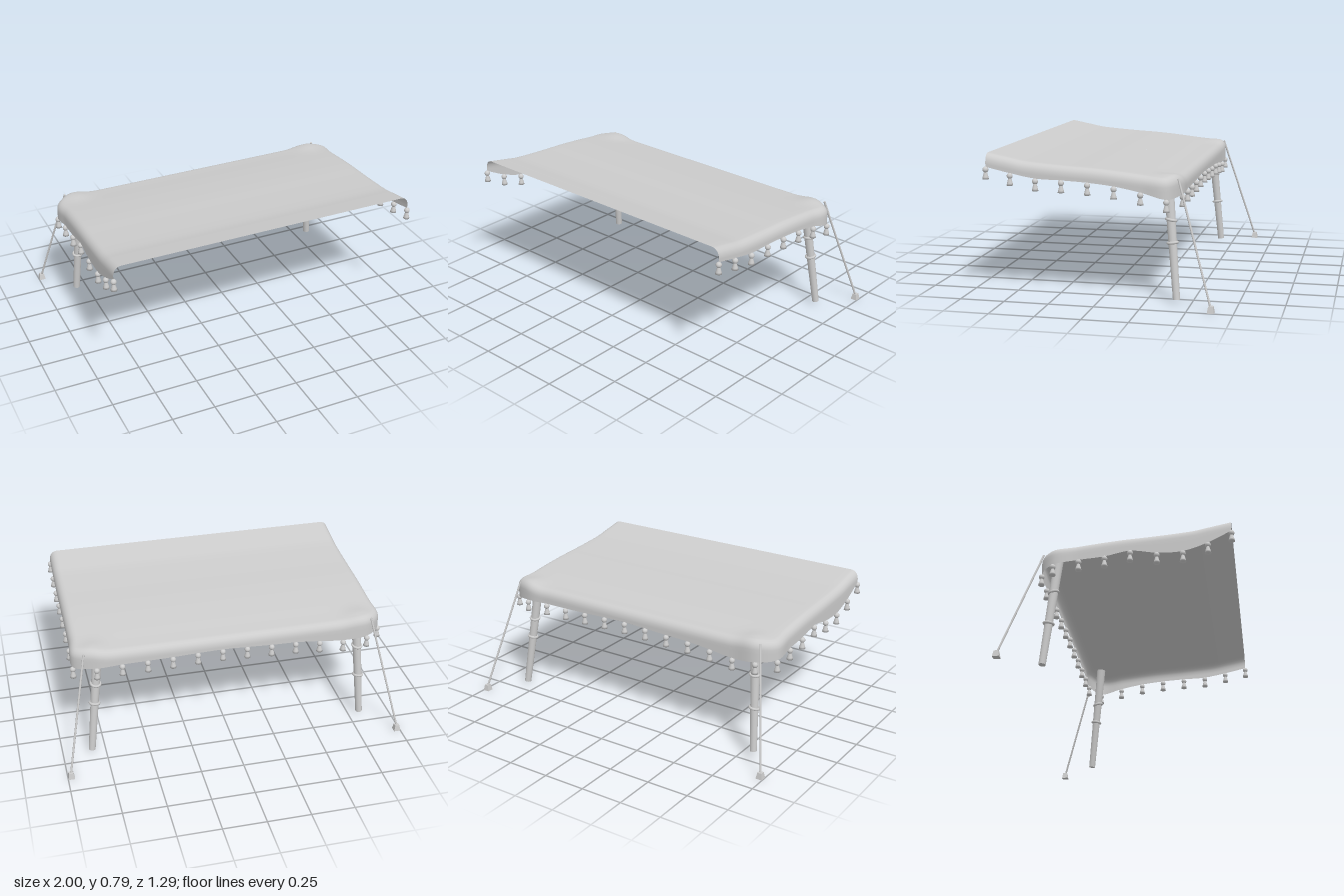
import * as THREE from 'three';
import { mergeVertices } from 'three/addons/utils/BufferGeometryUtils.js';

const V = (x, y, z) => new THREE.Vector3(x, y, z);

// Hem of the cloth: left-hand edge front to back, along the back, then forward again
const XL = -0.913, XR = 0.902, ZB = -0.44;
const sideA = [[0.625, 0.72], [0.495, 0.655], [0.358, 0.612], [0.215, 0.612], [0.068, 0.635], [-0.073, 0.61], [-0.217, 0.598], [-0.36, 0.578]];
const back = [[-0.82, 0.572], [-0.675, 0.562], [-0.53, 0.577], [-0.385, 0.59], [-0.24, 0.594], [-0.095, 0.601],
  [0.05, 0.606], [0.195, 0.603], [0.34, 0.598], [0.485, 0.595], [0.63, 0.593], [0.775, 0.588]];
const sideB = [[-0.375, 0.576], [-0.235, 0.61], [-0.09, 0.637], [0.055, 0.652], [0.2, 0.66], [0.345, 0.665], [0.487, 0.69], [0.625, 0.72]];
const hemPoints = [
  ...sideA.map(([z, y]) => V(XL, y, z)),
  ...back.map(([x, y]) => V(x, y, ZB)),
  ...sideB.map(([z, y]) => V(XR, y, z)),
];

// Height of the roof cloth, sagging towards the back and lifted by the two poles
const slope = [[-0.45, 0.674], [-0.35, 0.684], [-0.2, 0.704], [0, 0.724], [0.2, 0.736], [0.4, 0.752], [0.5, 0.77], [0.63, 0.795]];
const slopeCurve = new THREE.SplineCurve(slope.map(([z, y]) => new THREE.Vector2(z, y)));
const slopeTable = slopeCurve.getPoints(140);
function roofHeight(x, z) {
  let i = 1;
  while (i < slopeTable.length - 1 && slopeTable[i].x < z) i++;
  const a = slopeTable[i - 1], b = slopeTable[i];
  const y = THREE.MathUtils.mapLinear(z, a.x, b.x, a.y, b.y);
  const d2 = (Math.abs(x) - 0.79) ** 2 + (z + 0.385) ** 2;
  return y + 0.018 * Math.exp(-d2 / 0.006);
}

// Roof, rolled edge and hanging skirt as one swept sheet
function clothGeometry() {
  const hem = new THREE.CatmullRomCurve3(hemPoints);
  const n = (hemPoints.length - 1) * 7, inset = 0.045, drop = 0.05;
  const roofSteps = 24, rollSteps = 5, skirtSteps = 3;
  const rows = roofSteps + rollSteps + skirtSteps + 1;
  const pos = [], index = [];
  for (let i = 0; i <= n; i++) {
    const p = hem.getPoint(i / n), t = hem.getTangent(i / n);
    const inward = V(-t.z, 0, t.x).normalize();
    const at = (d) => p.clone().addScaledVector(inward, d);
    const edge = at(inset), core = V(0, 0, Math.max(edge.z, -0.1));
    const top = roofHeight(edge.x, edge.z);
    for (let j = 0; j <= roofSteps; j++) {
      const q = core.clone().lerp(edge, j / roofSteps);
      pos.push(q.x, roofHeight(q.x, q.z), q.z);
    }
    for (let j = 1; j <= rollSteps; j++) {
      const a = (j / rollSteps) * Math.PI / 2;
      const q = at(inset * (1 - Math.sin(a)));
      pos.push(q.x, top - drop * (1 - Math.cos(a)), q.z);
    }
    for (let j = 1; j <= skirtSteps; j++) {
      pos.push(p.x, THREE.MathUtils.lerp(top - drop, p.y, j / skirtSteps), p.z);
    }
  }
  for (let i = 0; i < n; i++) {
    for (let j = 0; j < rows - 1; j++) {
      const a = i * rows + j, b = a + rows;
      index.push(a, b, a + 1, b, b + 1, a + 1);
    }
  }
  let g = new THREE.BufferGeometry();
  g.setAttribute('position', new THREE.Float32BufferAttribute(pos, 3));
  g.setIndex(index);
  g = mergeVertices(g, 1e-5);
  g.computeVertexNormals();
  return g;
}

export function createModel() {
  const model = new THREE.Group();
  model.name = 'awning';
  const grey = new THREE.MeshStandardMaterial({ color: 0xcccccc });
  grey.name = 'light grey';
  grey.side = THREE.DoubleSide;

  function add(name, geometry, parent = model) {
    const m = new THREE.Mesh(geometry, grey);
    m.name = name;
    parent.add(m);
    return m;
  }
  // Round rod between two points
  function rod(name, from, to, rFrom, rTo, sides, parent) {
    const dir = to.clone().sub(from);
    const m = add(name, new THREE.CylinderGeometry(rTo, rFrom, dir.length(), sides), parent);
    m.position.copy(from).add(to).multiplyScalar(0.5);
    m.quaternion.setFromUnitVectors(V(0, 1, 0), dir.normalize());
    return m;
  }

  add('clothRoof', clothGeometry());

  // Tassels: a bead over a flared skirt
  const bead = new THREE.SphereGeometry(0.0165, 14, 10);
  const flare = new THREE.LatheGeometry(
    [[0, -0.067], [0.0185, -0.067], [0.016, -0.055], [0.01, -0.034], [0.009, -0.028]].map(([r, y]) => new THREE.Vector2(r, y)), 12);
  hemPoints.forEach((p) => {
    const tassel = new THREE.Group();
    tassel.name = 'tassel';
    tassel.position.copy(p);
    add('tasselBead', bead, tassel).position.y = -0.015;
    add('tasselFlare', flare, tassel);
    model.add(tassel);
  });

  // Leaning poles with tilted binding rings
  const poles = [
    { foot: V(-0.815, 0.02, -0.42), head: V(-0.773, 0.69, -0.355), rings: [0.472, 0.275] },
    { foot: V(0.83, 0.02, -0.42), head: V(0.752, 0.69, -0.355), rings: [0.448, 0.325] },
  ];
  for (const { foot, head, rings } of poles) {
    const pole = new THREE.Group();
    pole.name = 'pole';
    model.add(pole);
    rod('poleShaft', foot, head, 0.02, 0.028, 14, pole);
    rings.forEach((y, i) => {
      const t = (y - foot.y) / (head.y - foot.y);
      const ring = add('poleRing', new THREE.TorusGeometry(0.026, 0.008, 8, 20), pole);
      ring.position.lerpVectors(foot, head, t);
      ring.rotation.set(Math.PI / 2 + (i ? 0.15 : -0.2), 0.12, 0);
    });
  }

  // Guy ropes and ground stakes at the back corners
  const stake = new THREE.CylinderGeometry(0.018, 0.027, 0.036, 4).rotateY(Math.PI / 4).toNonIndexed();
  stake.computeVertexNormals();
  for (const s of [-1, 1]) {
    rod('guyRope', V(s * 0.98, 0.03, -0.628), V(s * 0.842, 0.682, -0.428), 0.006, 0.006, 8);
    add('groundStake', stake).position.set(s * 0.98, 0.018, -0.63);
  }
  return model;
}
